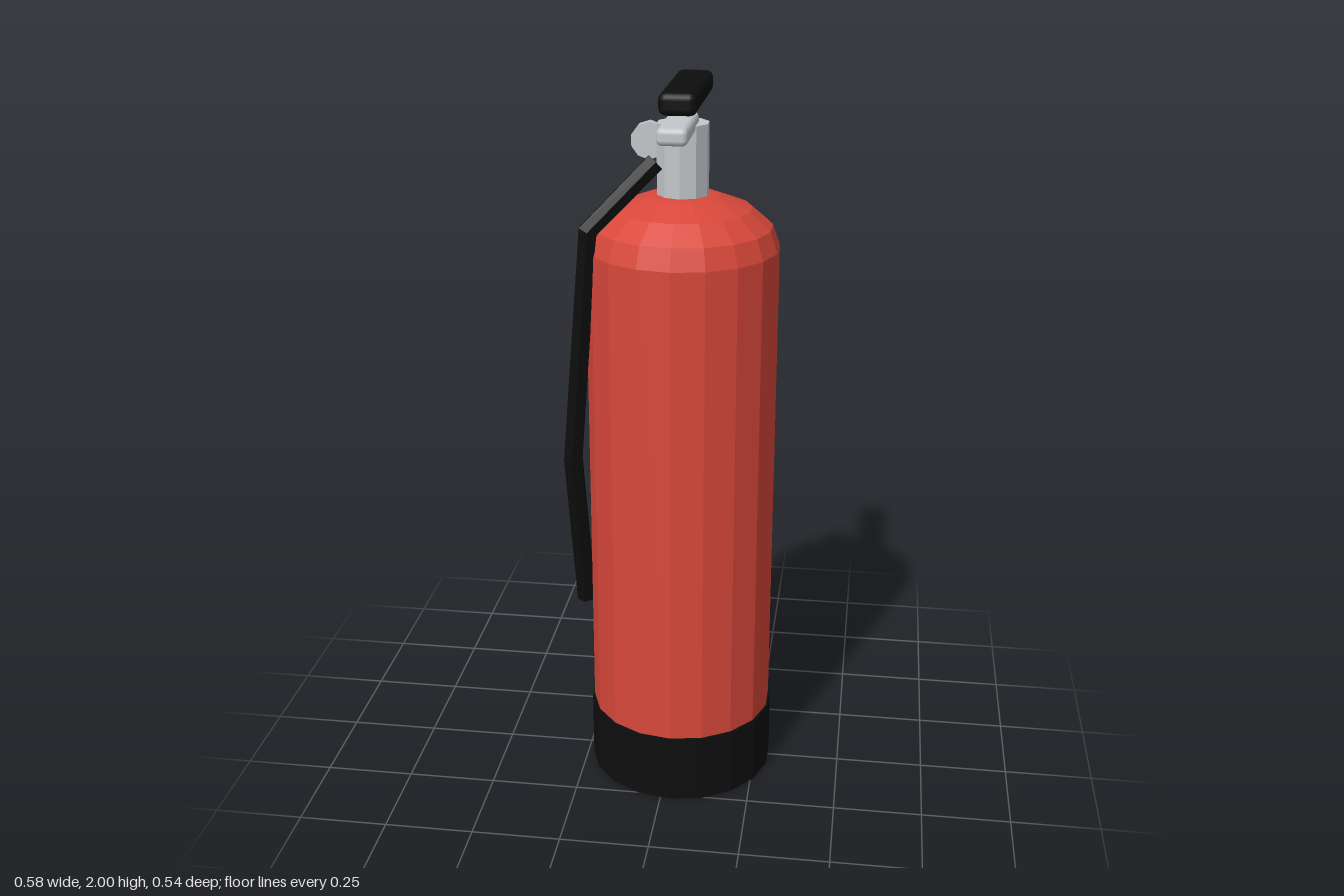
import * as THREE from 'three';
import { RoundedBoxGeometry } from 'three/addons/geometries/RoundedBoxGeometry.js';

const paint = (name, color) => {
  const m = new THREE.MeshStandardMaterial({ color });
  m.name = name;
  return m;
};

// Split the faces so each one is shaded flat
function faceted(geometry) {
  const g = geometry.index ? geometry.toNonIndexed() : geometry;
  g.computeVertexNormals();
  return g;
}

export function createModel() {
  const red = paint('red enamel', 0xd9483b);
  const black = paint('black rubber', 0x0e0e0e);
  const grey = paint('light metal', 0xc3c7cb);

  const group = new THREE.Group();
  group.name = 'fireExtinguisher';
  const add = (name, geometry, material, x = 0, y = 0, z = 0, parent = group) => {
    const mesh = new THREE.Mesh(geometry, material);
    mesh.name = name;
    mesh.position.set(x, y, z);
    parent.add(mesh);
    return mesh;
  };

  const cx = 0.028, cz = 0.003; // axis of the tank

  // Tank: straight wall and a flattened dome
  const profile = [new THREE.Vector2(0.26, 0.1)];
  for (let i = 0; i <= 4; i++) {
    const a = (i * Math.PI) / 8;
    profile.push(new THREE.Vector2(i === 4 ? 0 : 0.26 * Math.cos(a), 1.575 + 0.15 * Math.sin(a)));
  }
  add('tank', faceted(new THREE.LatheGeometry(profile, 18)), red, cx, 0, cz);

  // Foot
  add('baseRing', faceted(new THREE.CylinderGeometry(0.266, 0.266, 0.2, 18)), black, cx, 0.1, cz);

  // Valve, levers and gauge
  add('valve', faceted(new THREE.CylinderGeometry(0.07, 0.07, 0.205, 10)), grey, cx, 1.8025, cz);
  add('carryHandle', new RoundedBoxGeometry(0.08, 0.045, 0.255, 2, 0.015), grey, 0.027, 1.907, 0.1);
  add('squeezeLever', new RoundedBoxGeometry(0.1, 0.06, 0.392, 2, 0.02), black, cx, 1.97, -0.066);
  const gauge = add('gauge', faceted(new THREE.CylinderGeometry(0.05, 0.05, 0.03, 10)), grey, -0.07, 1.843, -0.065);
  gauge.rotation.x = Math.PI / 2;

  // Rear plate
  add('backPlate', new THREE.BoxGeometry(0.295, 0.46, 0.012), grey, cx, 0.99, -0.266);

  // Hose: three straight runs between four bends
  const hose = new THREE.Group();
  hose.name = 'hose';
  group.add(hose);
  const path = new THREE.CatmullRomCurve3([
    new THREE.Vector3(-0.036, 1.812, 0.066),
    new THREE.Vector3(-0.205, 1.64, 0.132),
    new THREE.Vector3(-0.267, 0.98, 0.09),
    new THREE.Vector3(-0.256, 0.5, 0),
  ]);
  path.getPointAt = path.getPoint;
  path.getTangentAt = path.getTangent;
  add('hoseTube', faceted(new THREE.TubeGeometry(path, 3, 0.028, 6)), black, 0, 0, 0, hose);
  for (const t of [0, 1]) {
    const p = path.getPoint(t);
    const out = path.getTangent(t).multiplyScalar(t ? 1 : -1);
    const cap = add('hoseEnd', new THREE.CircleGeometry(0.027, 6), black, p.x, p.y, p.z, hose);
    cap.quaternion.setFromUnitVectors(new THREE.Vector3(0, 0, 1), out);
  }

  return group;
}
